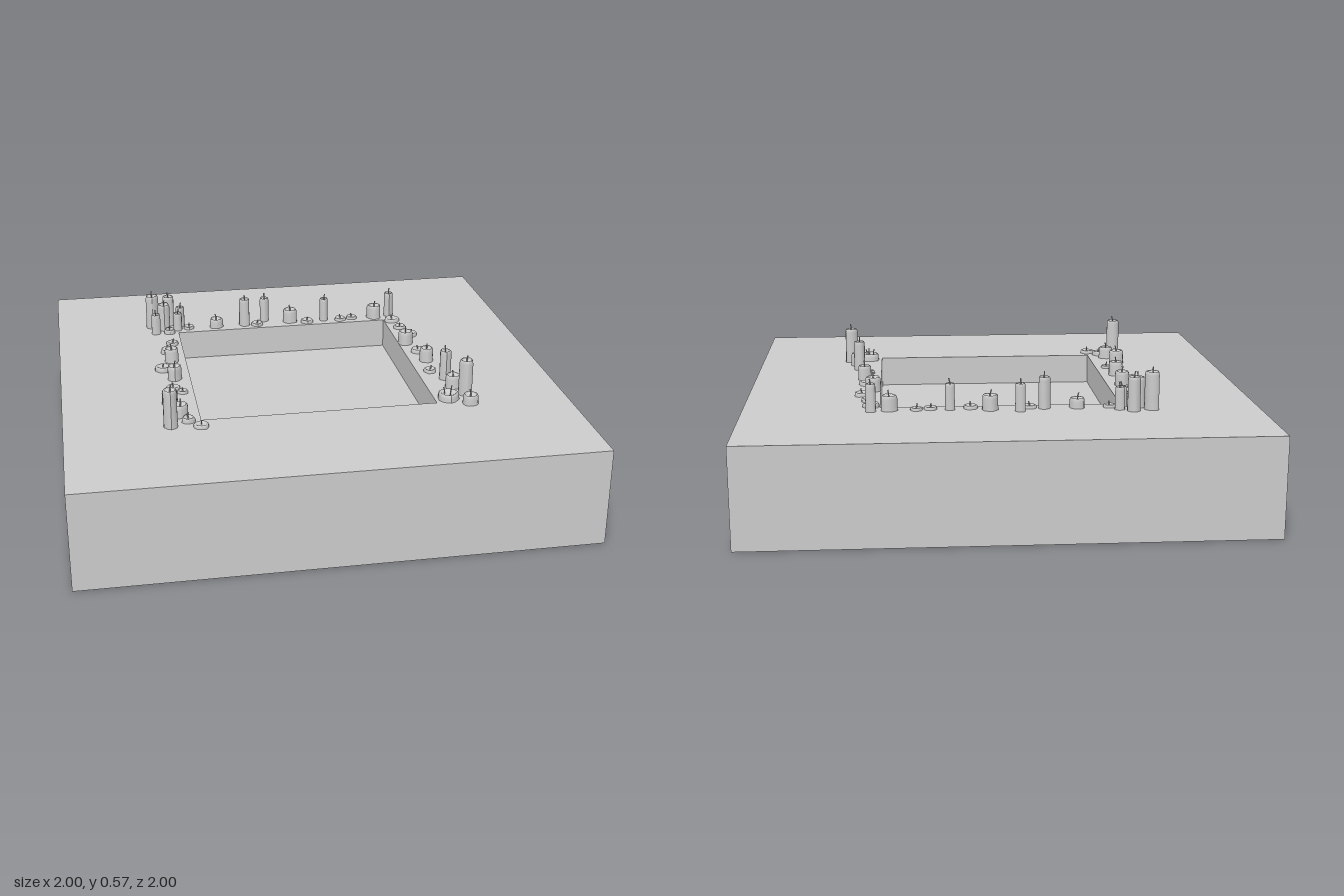
import * as THREE from 'three';

const TOP = 0.39;   // height of the slab's upper face
const PIT = 0.265;  // height of the recessed floor
const mat = new THREE.MeshStandardMaterial({ color: 0xcccccc });
const flatMat = new THREE.MeshStandardMaterial({ color: 0xcccccc, flatShading: true });

// Candles by side: [x, z, radius, height]
const leftRow = [
  [-0.51, -0.335, 0.025, 0.014], [-0.54, -0.245, 0.029, 0.018], [-0.53, -0.145, 0.029, 0.06],
  [-0.575, -0.05, 0.031, 0.02], [-0.535, 0.05, 0.029, 0.06], [-0.55, 0.15, 0.027, 0.012],
  [-0.515, 0.195, 0.021, 0.012], [-0.575, 0.3, 0.031, 0.058], [-0.545, 0.415, 0.03, 0.05],
  [-0.52, 0.475, 0.025, 0.02], [-0.475, 0.53, 0.029, 0.014], [-0.59, 0.51, 0.027, 0.155],
];
const cornerCluster = [
  [-0.58, -0.565, 0.028, 0.15], [-0.505, -0.585, 0.025, 0.135], [-0.53, -0.525, 0.027, 0.12],
  [-0.455, -0.56, 0.019, 0.09], [-0.57, -0.48, 0.02, 0.09], [-0.51, -0.475, 0.023, 0.02],
  [-0.47, -0.51, 0.019, 0.08],
];
const backRow = [
  [-0.42, -0.52, 0.023, 0.012], [-0.295, -0.52, 0.029, 0.04], [-0.165, -0.52, 0.023, 0.125],
  [-0.11, -0.51, 0.026, 0.012], [-0.07, -0.56, 0.02, 0.11], [0.045, -0.53, 0.031, 0.06],
  [0.12, -0.505, 0.027, 0.014], [0.2, -0.52, 0.018, 0.105], [0.275, -0.51, 0.025, 0.012],
  [0.33, -0.52, 0.023, 0.012], [0.435, -0.515, 0.031, 0.06], [0.505, -0.53, 0.02, 0.11],
];
const rightRow = [
  [0.505, -0.455, 0.032, 0.016], [0.52, -0.36, 0.026, 0.014], [0.545, -0.265, 0.029, 0.016],
  [0.5, -0.175, 0.031, 0.058], [0.53, -0.07, 0.03, 0.016], [0.54, 0.035, 0.028, 0.06],
  [0.525, 0.155, 0.025, 0.014], [0.565, 0.235, 0.023, 0.125], [0.575, 0.325, 0.03, 0.055],
  [0.605, 0.405, 0.027, 0.15], [0.525, 0.44, 0.041, 0.03], [0.6, 0.495, 0.031, 0.04],
];

// Square slab with a square recess: one four-sided lathe
function slab() {
  const profile = [[0, 0], [1, 0], [1, TOP], [0.47, TOP], [0.47, PIT], [0, PIT]]
    .map(([r, y]) => new THREE.Vector2(r * Math.SQRT2, y));
  const mesh = new THREE.Mesh(new THREE.LatheGeometry(profile, 4, Math.PI / 4), flatMat);
  mesh.name = 'slab';
  return mesh;
}

// Wax body with rounded rim, melted hollow and wavy outline
function wax(r, h, seed) {
  const rim = Math.min(0.014, h * 0.4);
  const profile = [
    [1.03, 0], [1, h * 0.3], [1, h - rim], [0.94, h - rim * 0.3], [0.84, h],
    [0.74, h - rim * 0.2], [0.64, h - rim * 0.7], [0, h - rim * 0.8],
  ].map(([k, y]) => new THREE.Vector2(k * r, y));
  const geo = new THREE.LatheGeometry(profile, 14);
  const p = geo.attributes.position;
  for (let i = 0; i < p.count; i++) {
    const a = Math.atan2(p.getX(i), p.getZ(i));
    const k = 1 + 0.05 * Math.sin(a * 3 + seed) + 0.04 * Math.sin(a * 5 + seed * 2.3);
    p.setX(i, p.getX(i) * k);
    p.setZ(i, p.getZ(i) * k);
  }
  geo.computeVertexNormals();
  const mesh = new THREE.Mesh(geo, mat);
  mesh.name = 'wax';
  return mesh;
}

// Thin, slightly bent wick
function wick(x, y, z, seed) {
  const dx = 0.005 * Math.sin(seed), dz = 0.005 * Math.cos(seed);
  const path = new THREE.CatmullRomCurve3([
    new THREE.Vector3(x, y, z),
    new THREE.Vector3(x + dx * 0.2, y + 0.017, z + dz * 0.2),
    new THREE.Vector3(x + dx, y + 0.032, z + dz),
  ]);
  const mesh = new THREE.Mesh(new THREE.TubeGeometry(path, 4, 0.0027, 5), mat);
  mesh.name = 'wick';
  return mesh;
}

function candle([x, z, r, h], seed) {
  const g = new THREE.Group();
  g.name = 'candle';
  g.add(wax(r, h, seed));
  // Low candles are burnt down, so their wicks start lower
  const base = h < 0.025 ? h - 0.018 : h - 0.012;
  const count = r > 0.04 ? 3 : 1;
  for (let i = 0; i < count; i++) {
    const a = seed + (i * Math.PI * 2) / 3, d = count > 1 ? 0.016 : 0;
    g.add(wick(Math.sin(a) * d, base, Math.cos(a) * d, a));
  }
  g.position.set(x, TOP, z);
  return g;
}

export function createModel() {
  const model = new THREE.Group();
  model.name = 'candlelitRecess';
  model.add(slab());
  let seed = 0;
  const rows = { leftCandles: leftRow, cornerCandles: cornerCluster, backCandles: backRow, rightCandles: rightRow };
  for (const [name, list] of Object.entries(rows)) {
    const group = new THREE.Group();
    group.name = name;
    for (const c of list) group.add(candle(c, (seed += 1.7)));
    model.add(group);
  }
  return model;
}
